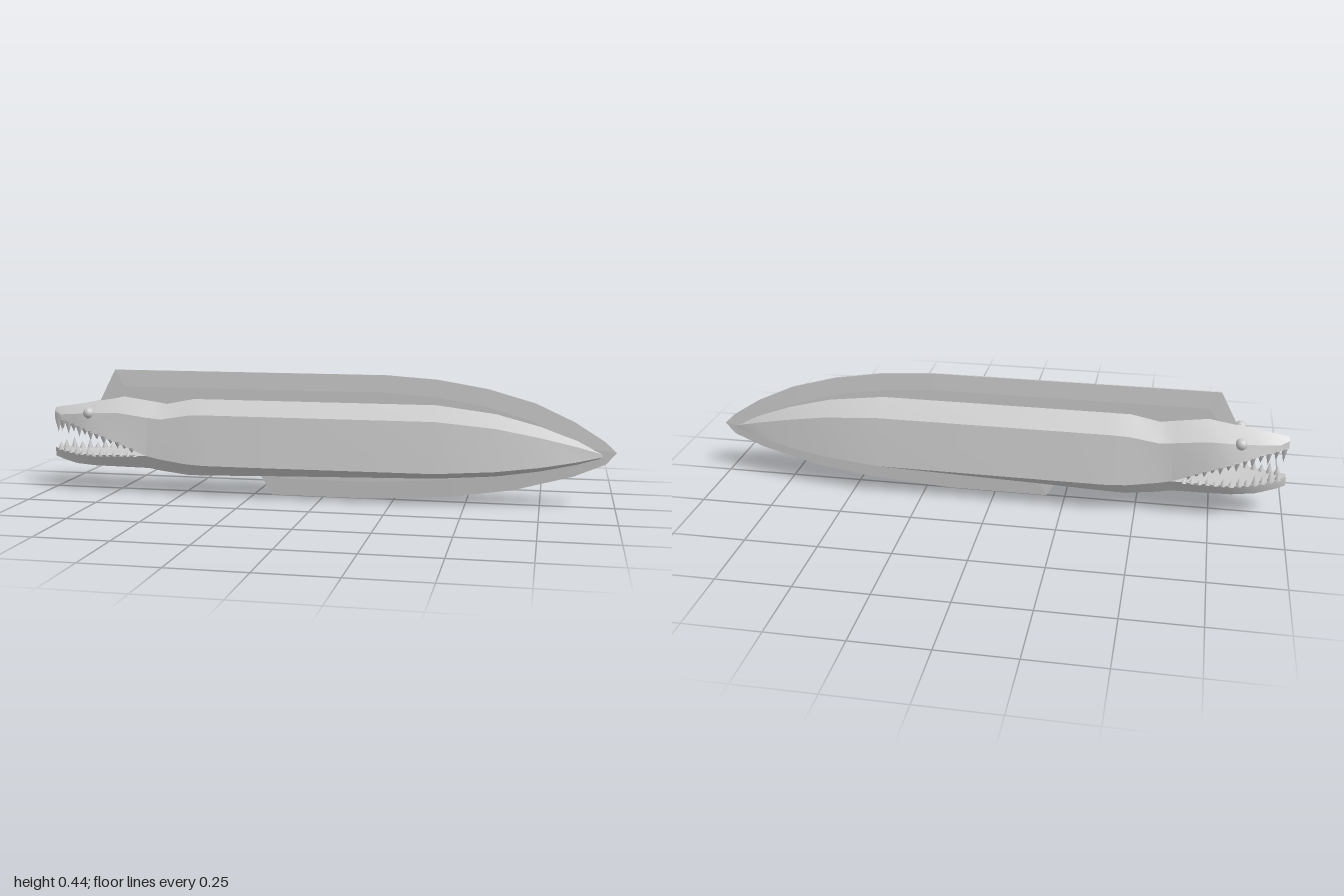
import * as THREE from 'three';
import { toCreasedNormals } from 'three/addons/utils/BufferGeometryUtils.js';

const material = new THREE.MeshStandardMaterial({ color: 0xcccccc, side: THREE.DoubleSide });

// Skin a row of mirrored half sections { x, half: [[y, z], ...] } listed from top to bottom.
function loft(sections) {
  const positions = [], index = [];
  const n = sections[0].half.length * 2 - 2;
  for (const { x, half } of sections) {
    const mirrored = half.slice(1, -1).reverse().map(([y, z]) => [y, -z]);
    for (const [y, z] of [...half, ...mirrored]) positions.push(x, y, z);
  }
  for (let i = 0; i < sections.length - 1; i++) {
    for (let j = 0; j < n; j++) {
      const a = i * n + j, b = i * n + (j + 1) % n;
      index.push(a, b, b + n, a, b + n, a + n);
    }
  }
  const last = (sections.length - 1) * n;
  for (let j = 1; j < n - 1; j++) {
    index.push(0, j + 1, j, last, last + j, last + j + 1);
  }
  const geometry = new THREE.BufferGeometry();
  geometry.setAttribute('position', new THREE.Float32BufferAttribute(positions, 3));
  geometry.setIndex(index);
  return toCreasedNormals(geometry, 0.5);
}

// Linear lookup of [y, z] along rows that start with x
function sample(rows, x, yCol, zCol) {
  let i = 0;
  while (i < rows.length - 2 && rows[i + 1][0] < x) i++;
  const t = (x - rows[i][0]) / (rows[i + 1][0] - rows[i][0]);
  const mix = (c) => THREE.MathUtils.lerp(rows[i][c], rows[i + 1][c], t);
  return [mix(yCol), mix(zCol)];
}

// x, ridge y, shoulder y, shoulder z, side y, side z, belly edge y, belly edge z, keel y
const bodyRows = [
  [-0.62, 0.328, 0.275, 0.085, 0.14, 0.098, 0.092, 0.07, 0.088],
  [-0.57, 0.32, 0.27, 0.084, 0.13, 0.1, 0.085, 0.075, 0.08],
  [-0.47, 0.34, 0.287, 0.088, 0.118, 0.111, 0.075, 0.082, 0.067],
  [-0.4, 0.34, 0.29, 0.09, 0.115, 0.114, 0.075, 0.08, 0.064],
  [-0.2, 0.34, 0.29, 0.09, 0.115, 0.114, 0.08, 0.075, 0.068],
  [0.4, 0.34, 0.29, 0.09, 0.117, 0.114, 0.092, 0.065, 0.08],
  [0.6, 0.315, 0.27, 0.073, 0.127, 0.092, 0.106, 0.052, 0.095],
  [0.75, 0.276, 0.24, 0.052, 0.142, 0.065, 0.127, 0.036, 0.118],
  [0.87, 0.232, 0.21, 0.03, 0.16, 0.038, 0.151, 0.02, 0.145],
  [0.96, 0.184, 0.182, 0.003, 0.176, 0.003, 0.175, 0.002, 0.172],
];

// x, ridge y, brow y, brow z, lip y, lip z
const headRows = [
  [-1, 0.292, 0.28, 0.01, 0.252, 0.012],
  [-0.97, 0.298, 0.27, 0.03, 0.25, 0.034],
  [-0.9, 0.308, 0.278, 0.058, 0.238, 0.068],
  [-0.82, 0.324, 0.287, 0.084, 0.217, 0.102],
  [-0.73, 0.343, 0.29, 0.09, 0.185, 0.104],
  [-0.62, 0.328, 0.275, 0.085, 0.14, 0.098],
];

// x, rim y, rim z, edge y, edge z, chin y
const jawRows = [
  [-1, 0.147, 0.012, 0.115, 0.01, 0.11],
  [-0.97, 0.142, 0.034, 0.108, 0.026, 0.104],
  [-0.9, 0.136, 0.066, 0.096, 0.05, 0.091],
  [-0.82, 0.136, 0.094, 0.094, 0.068, 0.09],
  [-0.73, 0.14, 0.1, 0.094, 0.072, 0.09],
  [-0.62, 0.14, 0.098, 0.092, 0.07, 0.088],
];

export function createModel() {
  const eel = new THREE.Group();
  eel.name = 'eel';
  const add = (name, geometry, parent = eel) => {
    const mesh = new THREE.Mesh(geometry, material);
    mesh.name = name;
    parent.add(mesh);
    return mesh;
  };

  // Trunk, upper head and lower jaw
  add('body', loft(bodyRows.map(([x, ry, sy, sz, wy, wz, by, bz, ky]) => ({
    x, half: [[ry, 0], [sy, sz], [wy, wz], [by, bz], [ky, 0]],
  }))));
  add('upperHead', loft(headRows.map(([x, ry, by, bz, ly, lz]) => ({
    x, half: [[ry, 0], [by, bz], [ly, lz], [ly + 0.005, 0]],
  }))));
  add('lowerJaw', loft(jawRows.map(([x, ry, rz, ey, ez, cy]) => ({
    x, half: [[ry - 0.005, 0], [ry, rz], [ey, ez], [cy, 0]],
  }))));

  // One continuous fin over the back, round the tail and under the belly, thinning to its edge
  const outline = [
    [-0.83, 0.31], [-0.765, 0.435], [0.22, 0.435], [0.4, 0.423], [0.57, 0.395],
    [0.73, 0.35], [0.86, 0.29], [0.96, 0.227], [1, 0.19], [0.965, 0.15],
    [0.86, 0.105], [0.66, 0.05], [0.46, 0.02], [0.17, 0], [-0.185, 0], [-0.235, 0.08],
  ].map(([x, y]) => new THREE.Vector2(x, y));
  const fin = new THREE.ExtrudeGeometry(new THREE.Shape(outline), {
    depth: 0.006, bevelEnabled: true, bevelSegments: 1,
    bevelThickness: 0.004, bevelSize: 0.06, bevelOffset: -0.06,
  });
  // Bring the outline to a narrow edge and keep it centred
  fin.translate(0, 0, -0.003);
  add('fin', fin);

  // Eyes and rows of teeth on both sides
  const teeth = new THREE.Group();
  teeth.name = 'teeth';
  eel.add(teeth);
  for (const side of [1, -1]) {
    const eye = add(side > 0 ? 'leftEye' : 'rightEye', new THREE.SphereGeometry(0.02, 16, 12));
    eye.position.set(-0.84, 0.285, side * 0.076);

    const count = 13;
    for (let i = 0; i < count; i++) {
      const t = i / (count - 1);
      const scale = 1 - 0.65 * t;
      const x = -0.985 + 0.31 * t;

      const upperLength = (i % 2 ? 0.036 : 0.052) * scale;
      const [uy, uz] = sample(headRows, x, 4, 5);
      const upper = add('upperTooth', new THREE.ConeGeometry(0.012, upperLength, 6), teeth);
      upper.rotation.x = Math.PI;
      upper.position.set(x, uy + 0.004 - upperLength / 2, side * (uz - 0.008));

      const lowerX = x + 0.012;
      const lowerLength = (i % 2 ? 0.045 : 0.033) * scale;
      const [ly, lz] = sample(jawRows, lowerX, 1, 2);
      const lower = add('lowerTooth', new THREE.ConeGeometry(0.012, lowerLength, 6), teeth);
      lower.position.set(lowerX, ly - 0.004 + lowerLength / 2, side * (lz - 0.008));
    }
  }
  return eel;
}
